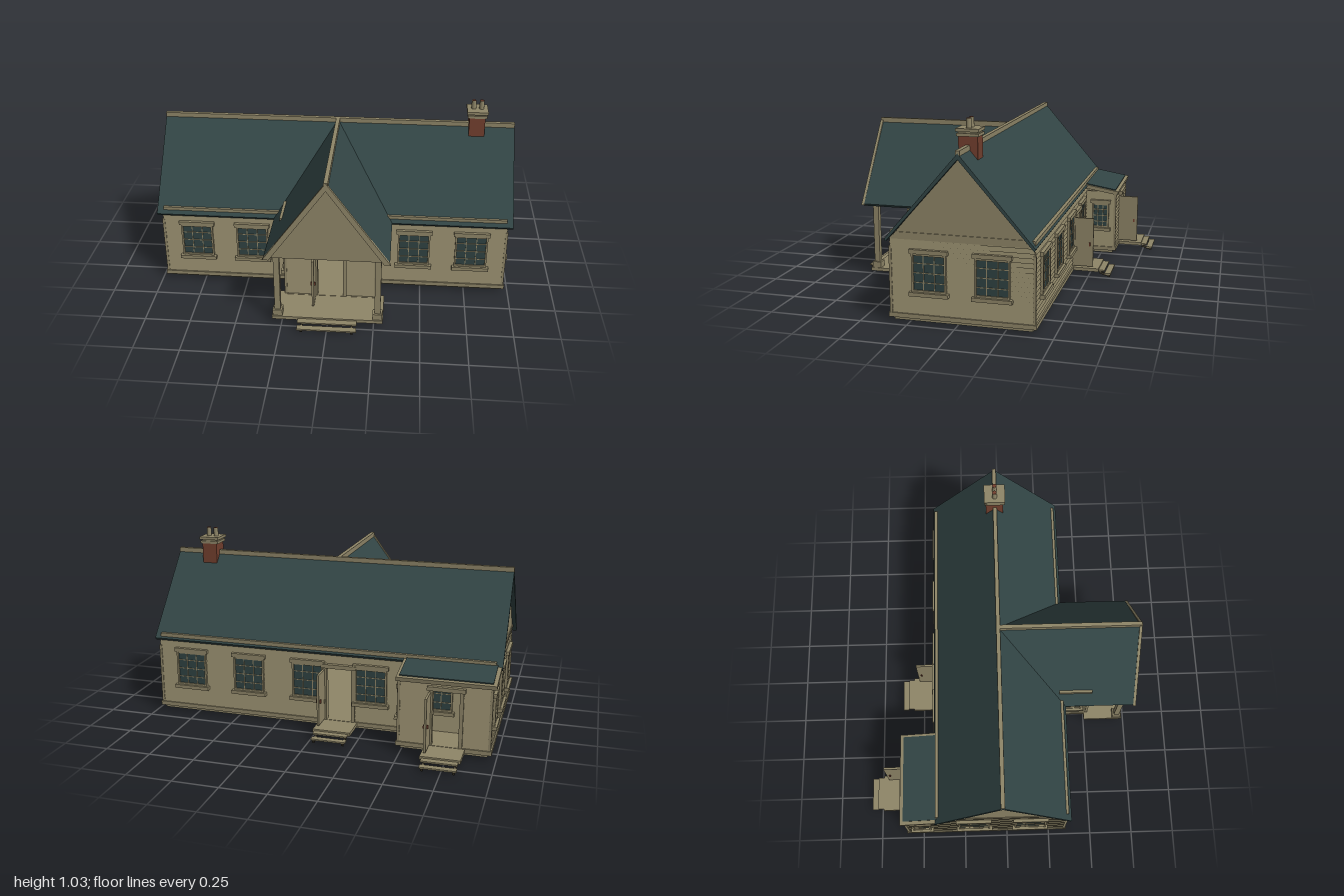
import * as THREE from 'three';

const mat = (name, color, side = THREE.FrontSide) => {
  const m = new THREE.MeshStandardMaterial({ color, side });
  m.name = name;
  return m;
};

export function createModel() {
  const tan = mat('tan timber', 0x8f8668);
  const teal = mat('dark teal slate', 0x324545);
  const glass = mat('window glass', 0x304343);
  const brick = mat('red brick', 0x74402f);
  const dark = mat('dark wood', 0x3c372b);
  const grey = mat('foundation grey', 0x646a62);
  const house = new THREE.Group();
  house.name = 'cottage';

  const add = (parent, name, geo, m) => {
    const mesh = new THREE.Mesh(geo, m);
    mesh.name = name;
    parent.add(mesh);
    return mesh;
  };
  // Box given by its limits along each axis
  const box = (parent, name, m, x0, x1, y0, y1, z0, z1) => {
    const mesh = add(parent, name, new THREE.BoxGeometry(x1 - x0, y1 - y0, z1 - z0), m);
    mesh.position.set((x0 + x1) / 2, (y0 + y1) / 2, (z0 + z1) / 2);
    return mesh;
  };
  const polygon = (pts) => new THREE.Shape(pts.map(([x, y]) => new THREE.Vector2(x, y)));
  const prism = (pts, depth) => new THREE.ExtrudeGeometry(polygon(pts), { depth, bevelEnabled: false });

  // Clapboard panel facing +z: a sawtooth section drawn out along x
  const siding = (wall, u0, u1, v0, v1) => {
    const rows = Math.max(1, Math.round((v1 - v0) / 0.024)), p = (v1 - v0) / rows;
    const pts = [[-0.02, v0]];
    for (let i = 0; i < rows; i++) pts.push([0.006, v0 + i * p], [0, v0 + (i + 1) * p]);
    pts.push([-0.02, v1]);
    const geo = prism(pts, u1 - u0);
    geo.rotateY(-Math.PI / 2).translate(u1, 0, 0);
    add(wall, 'siding', geo, tan);
  };

  // Paned window with surround, lintel and sill
  const paneWindow = (wall, u, w, y0, y1) => {
    const g = new THREE.Group();
    g.name = 'window';
    g.position.x = u;
    wall.add(g);
    const h = w / 2, b = 0.01;
    box(g, 'pane', glass, -h, h, y0, y1, 0, 0.009);
    for (const s of [-1, 1]) box(g, 'jamb', tan, s * h - b / 2, s * h + b / 2, y0, y1, 0, 0.018);
    for (const [a, c] of [[y0, y0 + b], [y1 - b, y1]]) box(g, 'rail', tan, -h, h, a, c, 0, 0.016);
    for (const s of [-1, 1]) box(g, 'glazingBar', tan, s * w / 6 - 0.002, s * w / 6 + 0.002, y0, y1, 0, 0.013);
    for (let i = 1; i < 4; i++) {
      const y = y0 + (y1 - y0) * i / 4;
      box(g, 'glazingBar', tan, -h, h, y - 0.002, y + 0.002, 0, 0.013);
    }
    box(g, 'lintel', tan, -h - 0.015, h + 0.015, y1, y1 + 0.022, 0, 0.022);
    box(g, 'sill', tan, -h - 0.018, h + 0.018, y0 - 0.02, y0, 0, 0.03);
  };

  // Doorway frame with the door standing open
  const openDoor = (wall, u) => {
    const g = new THREE.Group();
    g.name = 'doorway';
    g.position.x = u;
    wall.add(g);
    for (const s of [-1, 1]) box(g, 'doorJamb', tan, s * 0.08 - 0.01, s * 0.08 + 0.01, 0.055, 0.36, -0.02, 0.014);
    box(g, 'doorLintel', tan, -0.1, 0.1, 0.36, 0.382, -0.02, 0.025);
    box(g, 'doorLeaf', tan, -0.092, -0.08, 0.06, 0.35, 0.012, 0.125);
    for (const x of [-0.096, -0.076]) box(g, 'doorHandle', brick, x - 0.004, x + 0.004, 0.185, 0.205, 0.1, 0.108);
  };

  // Wall in its own frame: outside is +z, u runs along x
  const makeWall = (name, x, z, turn, u0, u1, top, windows, door) => {
    const wall = new THREE.Group();
    wall.name = name;
    wall.position.set(x, 0, z);
    wall.rotation.y = turn;
    house.add(wall);
    if (door === undefined) siding(wall, u0, u1, 0.05, top);
    else {
      siding(wall, u0, door - 0.075, 0.05, top);
      siding(wall, door + 0.075, u1, 0.05, top);
      siding(wall, door - 0.075, door + 0.075, 0.36, top);
      openDoor(wall, door);
    }
    for (const u of windows) {
      if (u1 - u0 < 0.3) paneWindow(wall, u, 0.095, 0.18, 0.335);
      else paneWindow(wall, u, 0.17, 0.175, 0.373);
    }
  };
  const Q = Math.PI / 2;

  // Main walls
  makeWall('frontWallRight', 0, 0.34, 0, -0.965, -0.25, 0.44, [-0.775, -0.46]);
  makeWall('frontWallLeft', 0, 0.34, 0, 0.25, 0.965, 0.44, [0.455, 0.775]);
  makeWall('backWall', 0, -0.4, 2 * Q, -0.965, 0.965, 0.43, [-0.77, -0.42, -0.07, 0.29, 0.65], 0.11);
  makeWall('leftWall', 0.965, 0, Q, -0.34, 0.4, 0.46, [-0.135, 0.19]);
  makeWall('rightWall', -0.965, 0, -Q, -0.4, 0.34, 0.46, [0.135, -0.19]);
  // Vestibule
  makeWall('vestibuleFront', 0, 0.515, 0, -0.25, 0.25, 0.44, [], 0);
  makeWall('vestibuleLeft', 0.25, 0, Q, -0.515, -0.32, 0.44, [-0.42]);
  makeWall('vestibuleRight', -0.25, 0, -Q, 0.32, 0.515, 0.44, [0.42]);
  // Back lean-to
  makeWall('leanToBack', 0, -0.585, 2 * Q, 0.485, 0.965, 0.4, [], 0.735);
  makeWall('leanToLeft', -0.485, 0, Q, 0.39, 0.585, 0.41, [0.495]);
  makeWall('leanToRight', -0.965, 0, -Q, -0.585, -0.39, 0.41, [-0.495]);

  // Corner boards
  for (const [x, z] of [[0.965, 0.34], [-0.965, 0.34], [0.965, -0.4], [0.25, 0.515], [-0.25, 0.515], [-0.965, -0.585], [-0.485, -0.585]])
    box(house, 'cornerBoard', tan, x - 0.007, x + 0.007, 0.05, 0.4, z - 0.007, z + 0.007);

  // Foundation and floor bands
  for (const [x0, x1, z0, z1] of [[-0.965, 0.965, -0.4, 0.34], [-0.25, 0.25, 0.3, 0.515], [-0.965, -0.485, -0.585, -0.35]]) {
    box(house, 'foundation', grey, x0 + 0.012, x1 - 0.012, 0.012, 0.016, z0 + 0.012, z1 - 0.012);
    box(house, 'plinth', tan, x0 + 0.01, x1 - 0.01, 0.015, 0.032, z0 + 0.01, z1 - 0.01);
    box(house, 'floorBand', tan, x0 - 0.012, x1 + 0.012, 0.032, 0.055, z0 - 0.012, z1 + 0.012);
  }

  // Pitched roof as a chevron section drawn out along z
  const chevron = (w, eave, apex) => [
    [-w, eave], [-w + 0.008, eave - 0.012], [0, apex - 0.03], [w - 0.008, eave - 0.012], [w, eave], [0, apex]];
  const mainRoof = add(house, 'mainRoof', prism(chevron(0.385, 0.442, 0.887), 1.99), teal);
  mainRoof.rotation.y = Q;
  mainRoof.position.set(-0.995, 0, -0.025);
  const porchRoof = add(house, 'porchRoof', prism(chevron(0.33, 0.442, 0.887), 0.78), teal);
  porchRoof.position.z = -0.02;

  // Gable walls
  for (const x of [-0.97, 0.95]) {
    const gable = add(house, 'mainGable', prism([[-0.365, 0.44], [0.365, 0.44], [0, 0.865]], 0.02), tan);
    gable.rotation.y = Q;
    gable.position.set(x, 0, -0.025);
    box(house, 'gableBand', tan, x - 0.005, x + 0.025, 0.462, 0.478, -0.36, 0.31);
  }
  const porchGable = add(house, 'porchGable', prism([[-0.305, 0.435], [0.305, 0.435], [0, 0.865]], 0.02), tan);
  porchGable.position.z = 0.71;
  box(house, 'porchCeiling', tan, -0.29, 0.29, 0.425, 0.437, 0.5, 0.73);

  // Barge boards, ridge caps and eave rails
  const barge = [[-0.335, 0.435], [-0.3, 0.435], [0, 0.855], [0.3, 0.435], [0.335, 0.435], [0, 0.9]];
  add(house, 'bargeBoards', prism(barge, 0.016), tan).position.z = 0.754;
  box(house, 'mainRidgeCap', tan, -0.995, 0.995, 0.872, 0.9, -0.036, -0.014);
  box(house, 'porchRidgeCap', tan, -0.011, 0.011, 0.872, 0.9, -0.02, 0.768);
  for (const s of [-1, 1]) {
    box(house, 'frontEaveRail', tan, Math.min(s * 0.3, s * 0.96), Math.max(s * 0.3, s * 0.96), 0.455, 0.478, 0.325, 0.344);
  }
  box(house, 'backEaveRail', tan, -0.96, 0.96, 0.45, 0.472, -0.402, -0.382);
  box(house, 'porchEaveRail', tan, -0.276, -0.256, 0.51, 0.535, 0.32, 0.51);

  // Lean-to roof: boarded deck with slate on top
  const leanRoof = new THREE.Group();
  leanRoof.name = 'leanToRoof';
  leanRoof.position.set(-0.73, 0.424, -0.495);
  leanRoof.rotation.x = -0.17;
  house.add(leanRoof);
  box(leanRoof, 'deck', tan, -0.26, 0.26, -0.012, 0.01, -0.11, 0.11);
  box(leanRoof, 'slates', teal, -0.24, 0.245, 0.01, 0.016, -0.09, 0.11);

  // Chimney with stepped cap and two pots
  box(house, 'chimneyStack', brick, 0.738, 0.826, 0.78, 0.945, -0.077, 0.023);
  box(house, 'chimneyCollar', tan, 0.728, 0.836, 0.943, 0.958, -0.084, 0.03);
  box(house, 'chimneyNeck', tan, 0.738, 0.826, 0.958, 0.966, -0.077, 0.023);
  box(house, 'chimneyCap', tan, 0.724, 0.84, 0.966, 0.982, -0.086, 0.034);
  for (const x of [0.76, 0.804]) {
    const pot = add(house, 'chimneyPot', new THREE.CylinderGeometry(0.013, 0.014, 0.05, 16), tan);
    pot.position.set(x, 1.005, -0.026);
    const rim = add(house, 'potOpening', new THREE.CylinderGeometry(0.011, 0.011, 0.004, 16), brick);
    rim.position.set(x, 1.03, -0.026);
  }

  // Porch deck and posts
  box(house, 'porchDeck', tan, -0.3, 0.3, 0.034, 0.053, 0.5, 0.735);
  for (const x of [-0.27, 0.27]) {
    box(house, 'postBase', tan, x - 0.026, x + 0.026, 0.053, 0.088, 0.676, 0.728);
    box(house, 'porchPost', tan, x - 0.016, x + 0.016, 0.088, 0.43, 0.686, 0.718);
  }

  // Steps: two treads on sloping stringers; dir is the way they descend
  const steps = (x, z, half, dir) => {
    const g = new THREE.Group();
    g.name = 'steps';
    g.position.set(x, 0, z);
    if (dir < 0) g.rotation.y = Math.PI;
    house.add(g);
    box(g, 'upperTread', tan, -half, half, 0.036, 0.044, 0, 0.035);
    box(g, 'lowerTread', tan, -half, half, 0.018, 0.026, 0.035, 0.07);
    for (const s of [-1, 1]) {
      const stringer = box(g, 'stringer', dark, s * half * 0.85 - 0.006, s * half * 0.85 + 0.006, 0.012, 0.024, 0, 0.068);
      stringer.rotation.x = 0.3;
    }
  };
  steps(0, 0.735, 0.16, 1);
  // Back landings
  for (const [x, z, len] of [[-0.11, -0.4, 0.16], [-0.735, -0.585, 0.155]]) {
    box(house, 'landing', tan, x - 0.105, x + 0.105, 0.034, 0.053, z - len, z);
    steps(x, z - len, 0.095, -1);
  }
  return house;
}
